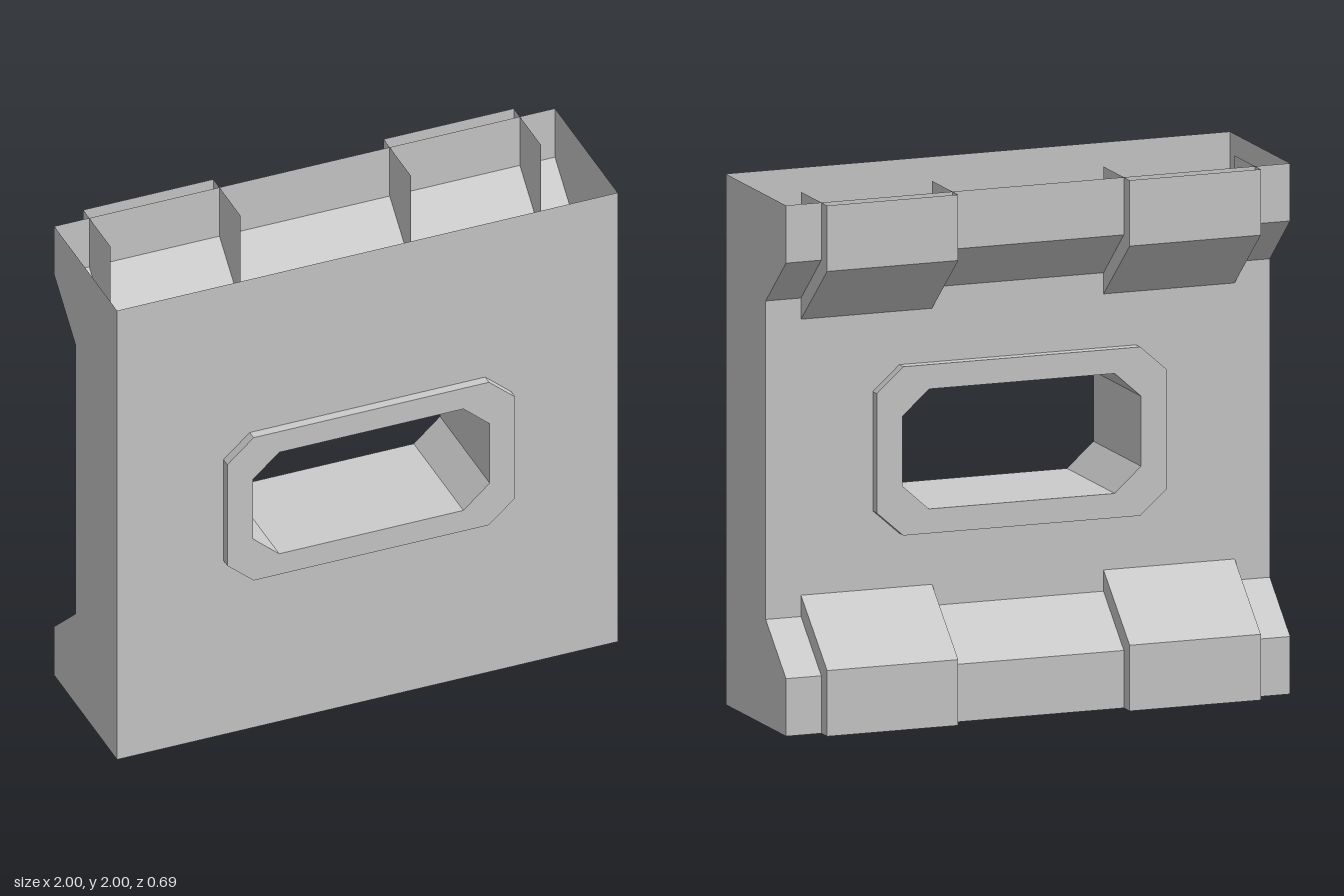
import * as THREE from 'three';

const material = new THREE.MeshStandardMaterial({ color: 0xcccccc, flatShading: true, side: THREE.DoubleSide });
const FRONT = 0.31, RECESS = -0.087, BACK = -0.289, PAD = -0.347, RIM = 0.347;

// Elongated octagon around the middle of the panel
function octagon(w, h, cx, cy, Type = THREE.Shape) {
  const pts = [[w - cx, -h], [w, cy - h], [w, h - cy], [w - cx, h], [cx - w, h], [-w, h - cy], [-w, cy - h], [cx - w, -h]];
  return new Type(pts.map(([x, y]) => new THREE.Vector2(x, y + 1)));
}

// Flat wall with the octagonal opening, facing +z
function piercedWall(y0, y1) {
  const shape = new THREE.Shape([[-1, y0], [1, y0], [1, y1], [-1, y1]].map(([x, y]) => new THREE.Vector2(x, y)));
  shape.holes.push(octagon(0.575, 0.318, 0.105, 0.093, THREE.Path));
  return new THREE.ShapeGeometry(shape);
}

// Flat [z, y] profile standing at x, facing the side given by s
function endWall(profile, x, s) {
  const shape = new THREE.Shape(profile.map(([z, y]) => new THREE.Vector2(-s * z, y)));
  return new THREE.ShapeGeometry(shape).rotateY(s * Math.PI / 2).translate(x, 0, 0);
}

// Folded sheet sweeping a rising [z, y] profile from x0 to x1, facing -z
function foldedSheet(profile, x0, x1) {
  const pos = [];
  for (let i = 0; i + 1 < profile.length; i++) {
    const [za, ya] = profile[i], [zb, yb] = profile[i + 1];
    pos.push(x1, ya, za, x0, ya, za, x0, yb, zb, x1, ya, za, x0, yb, zb, x1, yb, zb);
  }
  const geo = new THREE.BufferGeometry();
  geo.setAttribute('position', new THREE.Float32BufferAttribute(pos, 3));
  geo.computeVertexNormals();
  return geo;
}

const flip = (profile) => profile.map(([z, y]) => [z, 2 - y]).reverse();

export function createModel() {
  const group = new THREE.Group();
  const add = (name, geo) => {
    const mesh = new THREE.Mesh(geo, material);
    mesh.name = name;
    group.add(mesh);
    return mesh;
  };

  const lip = [[BACK, 0], [BACK, 0.217], [RECESS, 0.4]];
  const padLip = [[PAD, 0], [PAD, 0.248], [RECESS, 0.48]];

  // Hollow shell, open at top and bottom
  add('frontWall', piercedWall(0, 2)).position.z = FRONT;
  const back = add('backWall', piercedWall(0.4, 1.6));
  back.position.z = RECESS;
  back.rotation.y = Math.PI;
  const sideProfile = [[FRONT, 0], ...lip, ...flip(lip), [FRONT, 2]];
  for (const s of [-1, 1]) add(s > 0 ? 'leftWall' : 'rightWall', endWall(sideProfile, s, s));

  // Back lips and the raised pads on them, with end plates reaching inside
  for (const end of ['lower', 'upper']) {
    const place = end === 'lower' ? (p) => p : flip;
    add(end + 'Lip', foldedSheet(place(lip), -1, 1));
    const plate = place([...padLip, [RECESS, 0]]);
    for (const s of [-1, 1]) {
      add(end + 'Pad', foldedSheet(place(padLip), Math.min(s * 0.34, s * 0.86), Math.max(s * 0.34, s * 0.86)));
      add(end + 'PadInnerPlate', endWall(plate, s * 0.34, -s));
      add(end + 'PadOuterPlate', endWall(plate, s * 0.86, s));
    }
  }

  // Thick octagonal sleeve through the shell
  const sleeve = octagon(0.575, 0.318, 0.105, 0.093);
  sleeve.holes.push(octagon(0.473, 0.226, 0.105, 0.094, THREE.Path));
  add('openingSleeve', new THREE.ExtrudeGeometry(sleeve, { depth: RIM + 0.127, bevelEnabled: false })).position.z = -0.127;

  return group;
}
